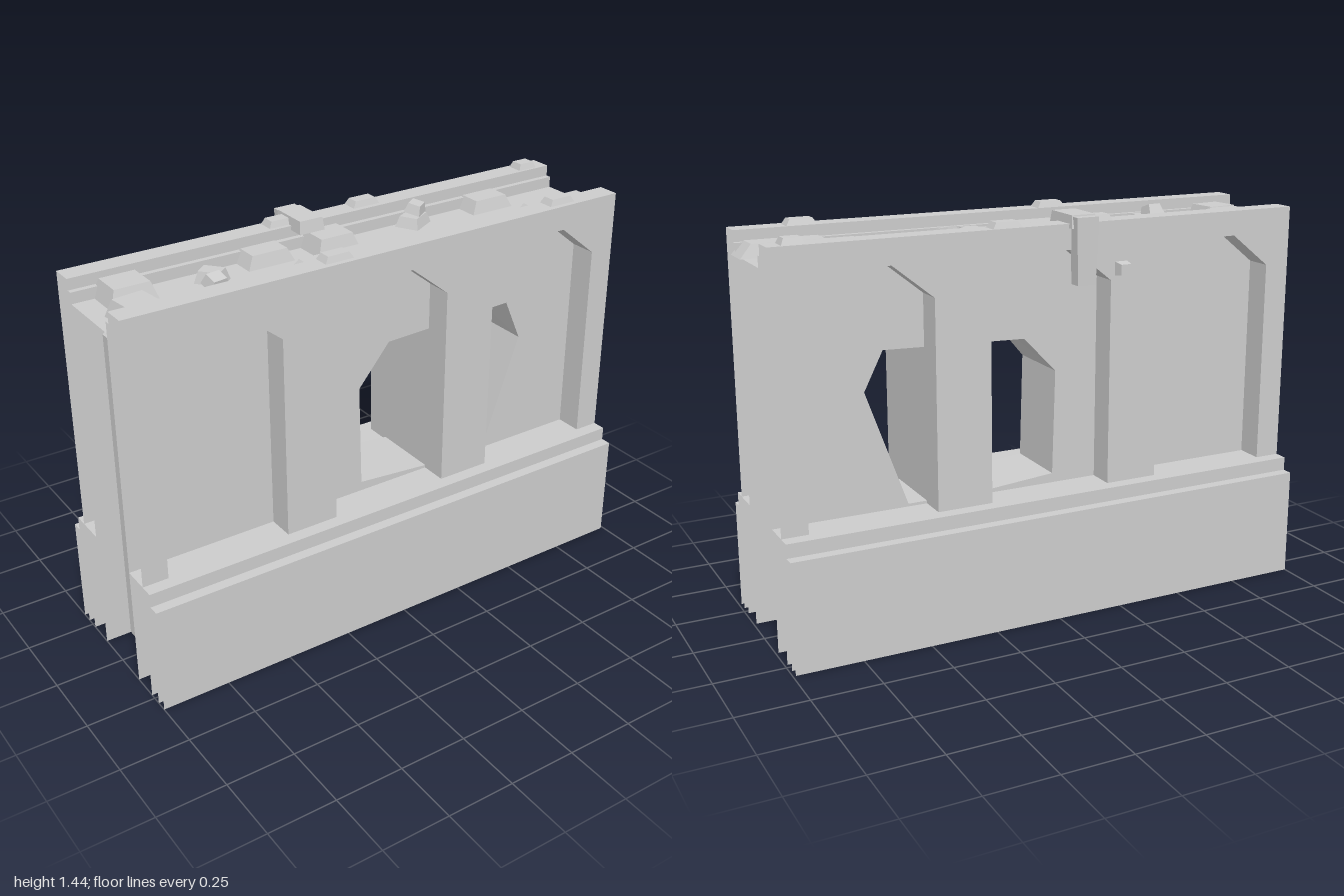
import * as THREE from 'three';

const mat = new THREE.MeshStandardMaterial({ color: 0xcccccc, flatShading: true, side: THREE.DoubleSide });
const X0 = -1, X1 = 0.99;
const FLOOR = 1.33, TOP = 1.41;

// outline of one arched niche, from height y0 up
const niche = (x, y0) => [[x, y0], [x, 1.2], [x + 0.15, 1.32], [x + 0.315, 1.32], [x + 0.465, 1.2], [x + 0.465, y0]];
const nicheStarts = [-0.905, -0.24, 0.43];

// ragged breach through the core, front and back outlines
const breachBack = [[-0.065, 0.485], [-0.075, 0.87], [0.05, 1.0], [0.58, 1.018], [0.65, 0.88], [0.5, 0.46], [0.23, 0.46]];
const breachFront = breachBack.map(([x, y]) => [x, y > 0.95 ? y + 0.02 : y]);

const toVecs = pts => pts.map(([x, y]) => new THREE.Vector2(x, y));

function add(parent, geo, name) {
  const mesh = new THREE.Mesh(geo, mat);
  mesh.name = name;
  parent.add(mesh);
  return mesh;
}

// strip of quads joining two equally long rows of 3D points
function strip(a, b) {
  const pos = [], idx = [];
  a.forEach((p, i) => pos.push(...p, ...b[i]));
  for (let i = 0; i < a.length - 1; i++) {
    const k = i * 2;
    idx.push(k, k + 1, k + 2, k + 2, k + 1, k + 3);
  }
  const g = new THREE.BufferGeometry();
  g.setAttribute('position', new THREE.Float32BufferAttribute(pos, 3));
  g.setIndex(idx);
  g.computeVertexNormals();
  return g;
}

// section line in (z, y) drawn along the whole wall
const alongWall = section => strip(section.map(([z, y]) => [X0, y, z]), section.map(([z, y]) => [X1, y, z]));

// upright panel with holes
function panel(y1, holes, z) {
  const s = new THREE.Shape(toVecs([[X0, 0], [X1, 0], [X1, y1], [X0, y1]]));
  holes.forEach(h => s.holes.push(new THREE.Path(toVecs(h))));
  return new THREE.ShapeGeometry(s).translate(0, 0, z);
}

// block with a tapered top, standing on y = 0
function block(w, h, d, taper = 0.75) {
  const g = new THREE.BoxGeometry(w, h, d).translate(0, h / 2, 0);
  const p = g.attributes.position;
  for (let i = 0; i < p.count; i++) {
    if (p.getY(i) > h / 2) p.setXYZ(i, p.getX(i) * taper, p.getY(i), p.getZ(i) * taper);
  }
  g.computeVertexNormals();
  return g;
}

function addStone(parent, geo, x, y, z, turn = 0, tilt = 0) {
  const stone = add(parent, geo, 'stone');
  stone.position.set(x, y, z);
  stone.rotation.set(tilt, turn, 0, 'YXZ');
}

// stones on the rubble floor: x, z, width, depth, turn
const floorStones = [
  [-0.835, -0.08, 0.17, 0.15], [-0.87, 0.075, 0.15, 0.14, 0.12],
  [-0.71, 0.115, 0.1, 0.07, -0.2], [-0.59, 0.105, 0.14, 0.09],
  [-0.54, -0.045, 0.075, 0.1, 0.7], [-0.31, -0.1, 0.18, 0.11],
  [-0.31, 0.105, 0.17, 0.08], [-0.135, 0.09, 0.34, 0.11],
  [0.145, 0.1, 0.085, 0.09], [-0.06, -0.08, 0.17, 0.14],
  [0.315, -0.1, 0.11, 0.09, 0.5], [0.64, -0.1, 0.18, 0.11],
  [0.64, 0.105, 0.17, 0.08], [0.83, 0.095, 0.34, 0.11],
];

// stones on the copings: x, z, width
const copingStones = [[-0.2, -0.195, 0.09], [0.16, -0.2, 0.11], [0.9, -0.19, 0.08], [0.75, 0.18, 0.11], [-0.205, 0.18, 0.11]];

export function createModel() {
  const model = new THREE.Group();
  model.name = 'ruinedWall';

  // both faces of the wall
  for (const s of [1, -1]) {
    const side = new THREE.Group();
    side.name = s > 0 ? 'frontFace' : 'backFace';
    model.add(side);
    const course = (section, name) => add(side, alongWall(section.map(([z, y]) => [z * s, y])), name);
    add(side, panel(TOP, nicheStarts.map(x => niche(x, 0.45)), 0.23 * s), 'archedFacing');
    add(side, panel(FLOOR, [s > 0 ? breachFront : breachBack], 0.13 * s), 'corePanel');
    course([[0.32, 0], [0.32, 0.4], [0.28, 0.4]], 'plinth');
    course([[0.28, 0], [0.28, 0.45], [0.13, 0.45]], 'sill');
    course([[0.23, TOP], [0.15, TOP], [0.15, 1.37], [0.13, 1.37], [0.13, FLOOR]], 'coping');
  }
  add(model, alongWall([[0.13, FLOOR], [-0.13, FLOOR]]), 'rubbleFloor');

  // niche linings run through the wall
  for (const x of nicheStarts) {
    const line = niche(x, 0);
    add(model, strip(line.map(p => [...p, 0.23]), line.map(p => [...p, -0.23])), 'nicheLining');
  }

  // sides of the breach
  const loop = (pts, z) => [...pts, pts[0]].map(p => [...p, z]);
  add(model, strip(loop(breachFront, 0.13), loop(breachBack, -0.13)), 'breachLining');

  // loose stones, flatter where they are narrower
  const rubble = new THREE.Group();
  rubble.name = 'rubble';
  model.add(rubble);
  for (const [x, z, w, d, turn] of floorStones) addStone(rubble, block(w, d * 0.42, d), x, FLOOR, z, turn);
  for (const [x, z, w] of copingStones) addStone(rubble, block(w, 0.022, 0.06), x, TOP, z);

  // small stones perched on others
  addStone(rubble, block(0.07, 0.04, 0.06), -0.59, 1.365, 0.065, 0.15, 0.35);
  addStone(rubble, block(0.07, 0.035, 0.06), 0.325, 1.375, -0.105, 0.6, 0.2);

  // stone jutting from the back face
  addStone(rubble, block(0.05, 0.035, 0.05), -0.28, 1.24, -0.23, 0, -Math.PI / 2);

  // broken slab lying over the back edge
  const slab = new THREE.Group();
  slab.name = 'fallenSlab';
  model.add(slab);
  add(slab, block(0.1, 0.045, 0.16, 0.9), 'lyingPiece').position.set(-0.12, 1.395, -0.17);
  add(slab, block(0.07, 0.235, 0.045, 1.2), 'hangingPiece').position.set(-0.12, 1.2, -0.248);

  return model;
}
